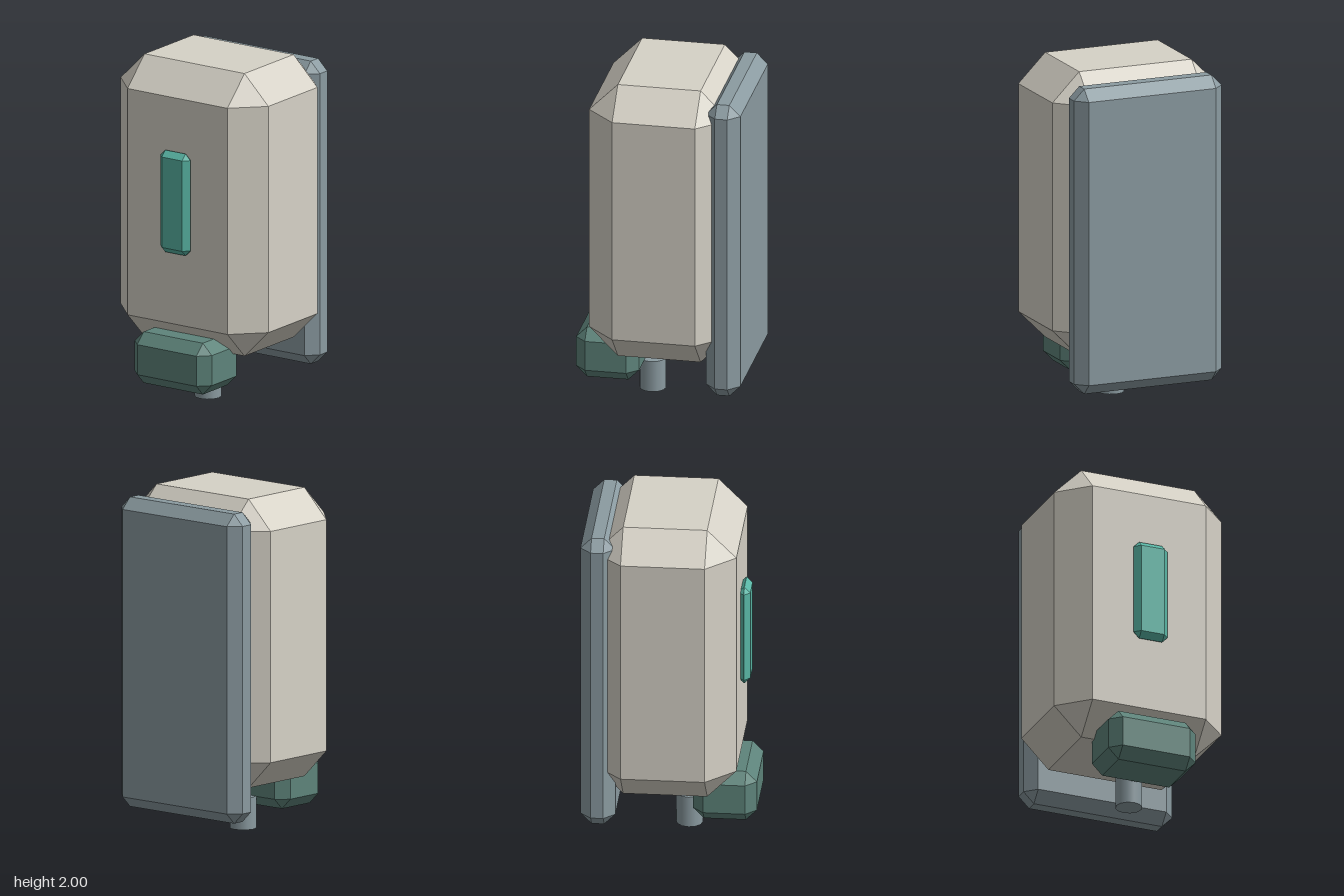
import * as THREE from 'three';
import { ConvexGeometry } from 'three/addons/geometries/ConvexGeometry.js';

const material = (name, color) => {
  const m = new THREE.MeshStandardMaterial({ color });
  m.name = name;
  return m;
};

// Box with every edge chamfered by c and triangular corner facets
function chamferBox(w, h, d, c) {
  const points = [];
  for (const sx of [-1, 1]) for (const sy of [-1, 1]) for (const sz of [-1, 1]) {
    for (let axis = 0; axis < 3; axis++) {
      const p = [w, h, d].map((s, i) => s / 2 - (i === axis ? 0 : c));
      points.push(new THREE.Vector3(p[0] * sx, p[1] * sy, p[2] * sz));
    }
  }
  return new ConvexGeometry(points);
}

export function createModel() {
  const group = new THREE.Group();
  const shell = material('warm ivory', 0xd6d2c7);
  const slate = material('slate grey', 0x8b9ba1);
  const pine = material('dark green', 0x5e847b);
  const teal = material('teal', 0x59b6a5);

  const add = (name, geometry, mat, x, y, z) => {
    const mesh = new THREE.Mesh(geometry, mat);
    mesh.name = name;
    mesh.position.set(x, y, z);
    group.add(mesh);
  };

  // Main housing
  add('body', chamferBox(1.034, 1.676, 0.815, 0.167), shell, 0, 1.162, -0.015);
  // Mounting plate behind the housing
  add('backPlate', chamferBox(0.92, 1.796, 0.2, 0.064), slate, 0, 1.046, -0.396);
  // Indicator window on the front
  add('indicator', chamferBox(0.21, 0.604, 0.07, 0.034), teal, 0, 1.218, 0.412);
  // Dispensing block under the front
  add('spoutBlock', chamferBox(0.54, 0.304, 0.366, 0.063), pine, 0, 0.273, 0.314);
  // Nozzle under the block
  add('nozzle', new THREE.CylinderGeometry(0.077, 0.077, 0.186, 12), slate, 0, 0.093, 0.093);

  return group;
}
